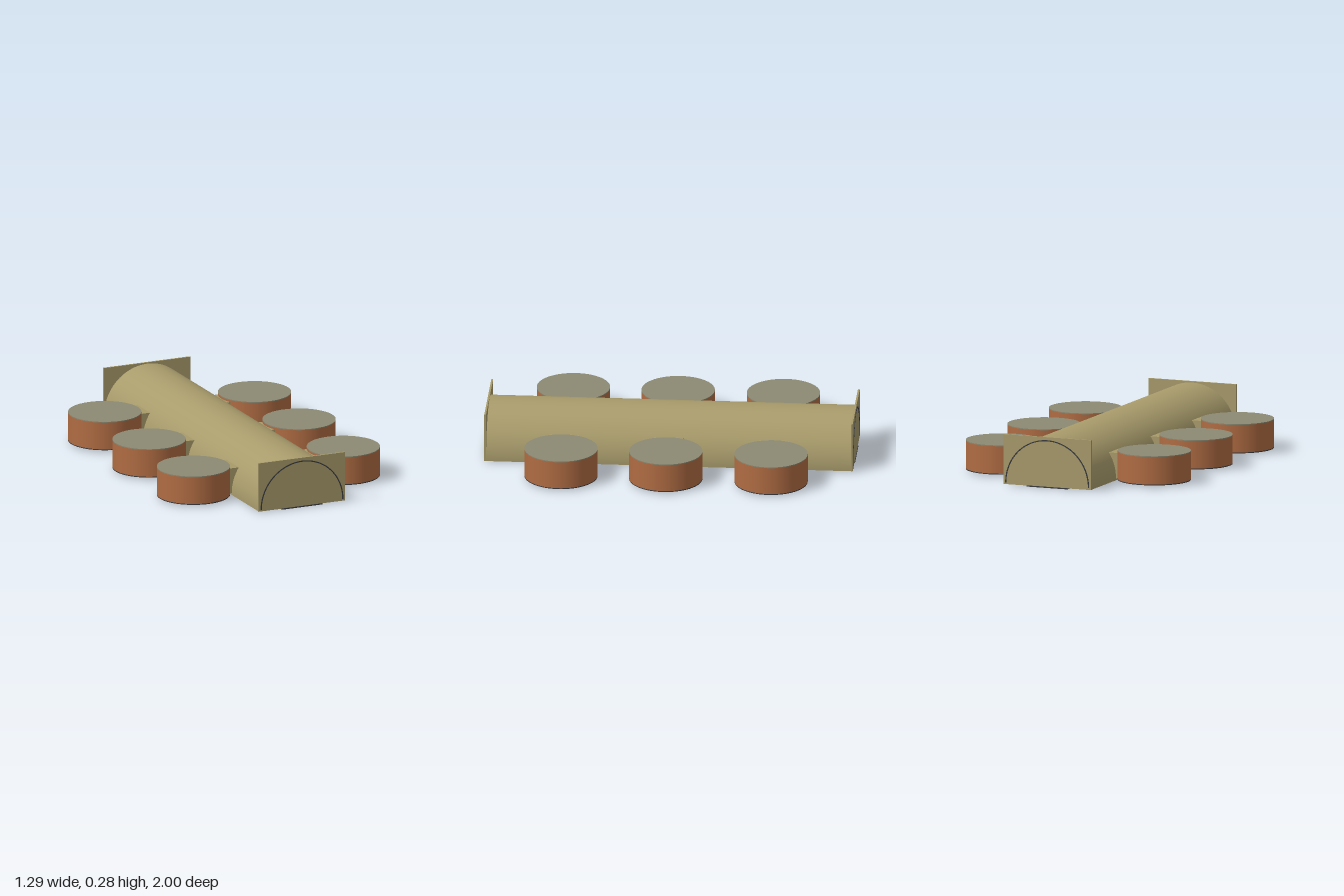
import * as THREE from 'three';

export function createModel() {
  const group = new THREE.Group();
  const mat = (name, color) => {
    const m = new THREE.MeshStandardMaterial({ color });
    m.name = name;
    return m;
  };
  const olive = mat('olive', 0xa89b6b);
  const rust = mat('rust', 0xb06c43);
  const sage = mat('sage grey', 0x8c8a73);
  const dark = mat('charcoal', 0x3a3b40);

  const add = (name, geometry, material, x, y, z, parent = group) => {
    const mesh = new THREE.Mesh(geometry, material);
    mesh.name = name;
    mesh.position.set(x, y, z);
    parent.add(mesh);
    return mesh;
  };

  // Long barrel vault with a flat underside
  const baseY = 0.015, radius = 0.255;
  const vault = new THREE.Shape();
  vault.moveTo(-radius, -0.01);
  vault.lineTo(radius, -0.01);
  vault.lineTo(radius, 0);
  vault.absarc(0, 0, radius, 0, Math.PI, false);
  vault.closePath();
  const vaultGeometry = new THREE.ExtrudeGeometry(vault, { depth: 1.98, bevelEnabled: false, curveSegments: 48 });
  // Smooth the curved roof by pointing its normals away from the axis
  const pos = vaultGeometry.attributes.position, nor = vaultGeometry.attributes.normal;
  for (let i = 0; i < pos.count; i++) {
    const x = pos.getX(i), y = pos.getY(i);
    if (Math.abs(nor.getZ(i)) < 0.5 && nor.getY(i) > -0.5 && y >= -0.001) {
      nor.setXYZ(i, x / radius, Math.max(y, 0) / radius, 0);
    }
  }
  add('vault', vaultGeometry, olive, 0, baseY, -0.99);

  // Dark strip along the underside
  add('floorStrip', new THREE.BoxGeometry(0.24, 0.006, 2), dark, 0, 0.003, 0);

  // Thin arch outline for the end walls
  const arch = new THREE.Shape();
  arch.absarc(0, 0, 0.246, 0, Math.PI, false);
  arch.absarc(0, 0, 0.24, Math.PI, 0, true);
  arch.closePath();
  const archGeometry = new THREE.ExtrudeGeometry(arch, { depth: 0.003, bevelEnabled: false, curveSegments: 48 });

  // Square end walls, front and back
  for (const end of [1, -1]) {
    const label = end > 0 ? 'front' : 'back';
    add(label + 'EndWall', new THREE.BoxGeometry(0.515, 0.272, 0.01), olive, 0, 0.141, end * 0.992);
    add(label + 'ArchLine', archGeometry, dark, 0, baseY, end > 0 ? 0.997 : -1);
  }

  // Round side drums, each joined to the vault by a short passage
  const drumRadius = 0.198;
  const wall = new THREE.CylinderGeometry(drumRadius, drumRadius, 0.15, 64, 1, true);
  const plate = new THREE.CylinderGeometry(drumRadius, drumRadius, 0.005, 64);
  const passage = new THREE.BoxGeometry(0.14, 0.14, 0.16);
  for (const side of [1, -1]) {
    for (const z of [-0.57, 0, 0.567]) {
      const pod = new THREE.Group();
      pod.name = side > 0 ? 'leftPod' : 'rightPod';
      pod.position.set(side * 0.446, 0, z);
      group.add(pod);
      add('drumWall', wall, rust, 0, 0.09, 0, pod);
      add('drumTop', plate, sage, 0, 0.1675, 0, pod);
      add('drumBottom', plate, dark, 0, 0.0125, 0, pod);
      add('passage', passage, olive, -side * 0.218, 0.085, 0, pod);
    }
  }
  return group;
}
